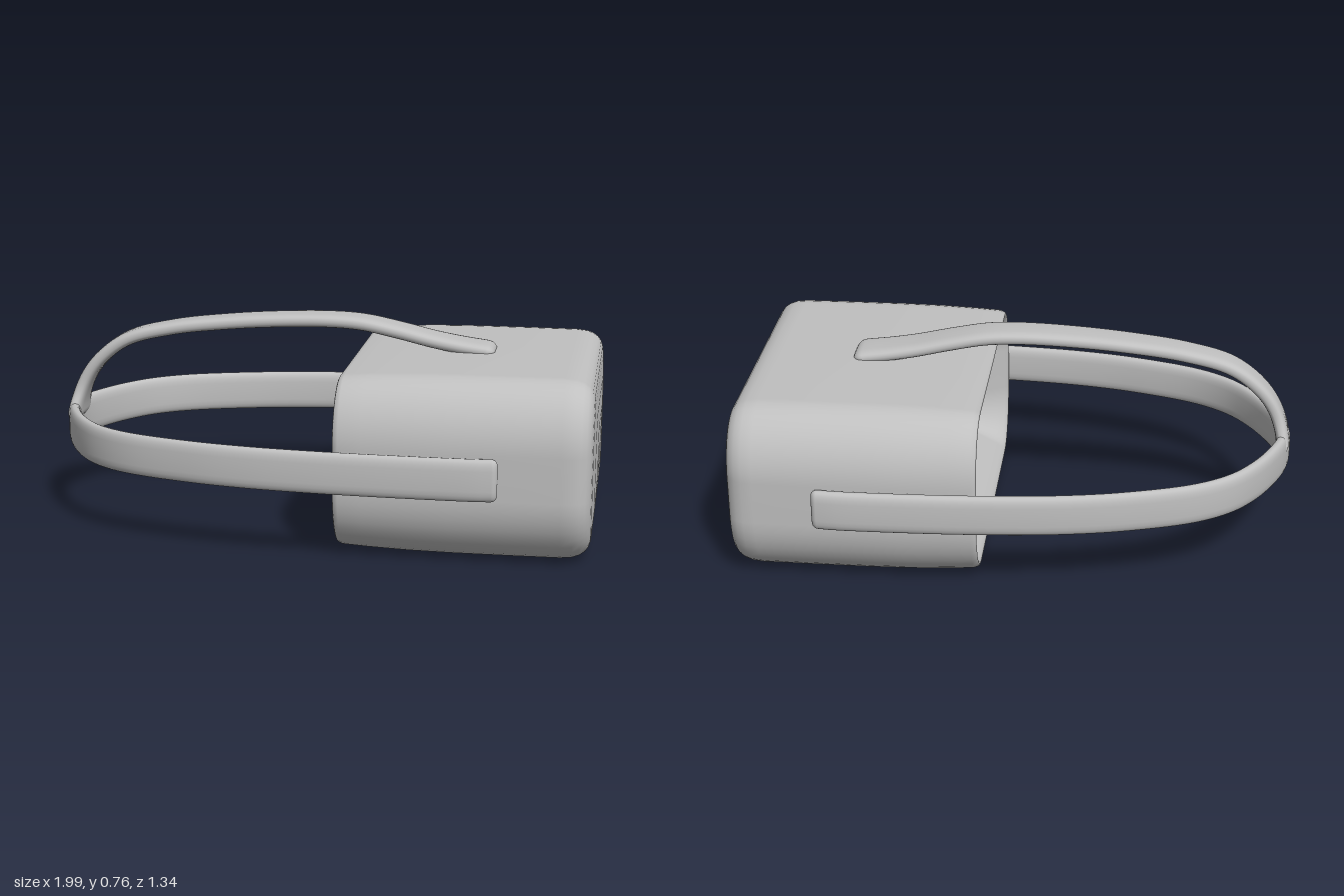
import * as THREE from 'three';

const V = (x, y, z) => new THREE.Vector3(x, y, z);

// Skin a list of equal-length closed rings of points.
function loft(rings) {
  const n = rings[0].length, index = [];
  for (let i = 0; i < rings.length - 1; i++) {
    for (let j = 0; j < n; j++) {
      const a = i * n + j, b = i * n + (j + 1) % n;
      index.push(a, b, a + n, b, b + n, a + n);
    }
  }
  const g = new THREE.BufferGeometry().setFromPoints(rings.flat());
  g.setIndex(index);
  g.computeVertexNormals();
  return g;
}

// Rounded-rectangle section across x, with elliptical corners.
function bodyRing(x, inset, scale = 1) {
  const ry = Math.max(0.24 - inset, 0.05), rz = Math.max(0.19 - inset, 0.05);
  const cy = 0.318 - inset - ry, cz = 0.622 - inset - rz;
  const ring = [];
  for (let q = 0; q < 4; q++) {
    const sy = q === 0 || q === 3 ? 1 : -1, sz = q < 2 ? 1 : -1;
    for (let k = 0; k <= 10; k++) {
      const a = (q + k / 10) * Math.PI / 2;
      ring.push(V(x, 0.322 + scale * (sy * cy + ry * Math.cos(a)),
        scale * (sz * cz + rz * Math.sin(a))));
    }
  }
  return ring;
}

// Sweep a padded band along a planar path; axis is the band's width direction.
function strap(points, axis, halfThick, halfWidth, round, steps) {
  const curve = new THREE.CatmullRomCurve3(points, false, 'centripetal');
  const length = curve.getLength(), us = [];
  const capSteps = 7, cap = round / length;
  for (let i = 0; i < capSteps; i++) us.push(cap * (1 - Math.cos(i / capSteps * Math.PI / 2)));
  for (let i = 0; i <= steps; i++) us.push(cap + (1 - 2 * cap) * i / steps);
  for (let i = capSteps - 1; i >= 0; i--) us.push(1 - us[i]);
  const power = (v, p) => Math.sign(v) * Math.abs(v) ** p;
  return loft(us.map(u => {
    const p = curve.getPointAt(u), t = curve.getTangentAt(u);
    const across = axis.clone().cross(t).normalize();
    const d = Math.max(0, 1 - Math.min(u, 1 - u) / cap);
    const s = Math.sqrt(Math.max(0, 1 - d * d));
    const w = (halfWidth(u) - round * (1 - s)) * (s < 0.01 ? 0.01 : 1);
    const h = halfThick * Math.max(s, 0.01);
    const ring = [];
    for (let j = 0; j < 24; j++) {
      const a = j / 24 * Math.PI * 2;
      ring.push(p.clone().addScaledVector(across, h * power(Math.cos(a), 0.8))
        .addScaledVector(axis, w * power(Math.sin(a), 0.55)));
    }
    return ring;
  }));
}

export function createModel() {
  const model = new THREE.Group();
  model.name = 'headset';
  const grey = new THREE.MeshStandardMaterial({ color: 0xc0c0c0 });
  grey.name = 'plain grey';
  const add = (name, geometry) => {
    const mesh = new THREE.Mesh(geometry, grey);
    mesh.name = name;
    model.add(mesh);
    return mesh;
  };

  // Visor shell: cavity floor, cavity wall, rim, outside, domed front.
  const profile = [
    [0.28, 0.14, 0.001], [0.28, 0.14, 0.6], [0.28, 0.14, 0.97], [0.28, 0.14],
    [0.27, 0.125], [0.25, 0.115], [0.14, 0.06], [0.115, 0.045], [0.104, 0.036],
    [0.1, 0.028], [0.104, 0.02], [0.12, 0.013], [0.2, 0.008], [0.35, 0.002],
    [0.5, 0], [0.7, 0], [0.88, 0.001], [0.92, 0.005], [0.945, 0.014],
    [0.963, 0.027], [0.975, 0.043], [0.982, 0.065], [0.985, 0.09],
    [0.99, 0.09, 0.75], [0.993, 0.09, 0.4], [0.994, 0.09, 0.001],
  ];
  add('visorShell', loft(profile.map(p => bodyRing(...p))));

  // Pair of domed lenses inside the cavity
  for (const side of [-1, 1]) {
    const lens = add(side > 0 ? 'frontLens' : 'backLens', new THREE.SphereGeometry(1, 40, 28));
    lens.scale.set(0.1, 0.175, 0.17);
    lens.position.set(0.28, 0.322, side * 0.26);
  }

  // Band running from one side of the visor round to the other
  const half = [
    [0.67, 0.638], [0.6, 0.645], [0.45, 0.646], [0.2, 0.64], [0, 0.628],
    [-0.2, 0.606], [-0.4, 0.566], [-0.65, 0.482], [-0.78, 0.395],
    [-0.865, 0.29], [-0.925, 0.18], [-0.963, 0.08],
  ];
  const path = [
    ...half.map(([x, z]) => V(x, 0.323, z)), V(-0.976, 0.323, 0),
    ...half.slice().reverse().map(([x, z]) => V(x, 0.323, -z)),
  ];
  add('sideStrap', strap(path, V(0, 1, 0), 0.023, () => 0.074, 0.022, 110));

  // Band over the head, flared where it joins the side band
  const over = [
    [-0.972, 0.33], [-0.962, 0.4], [-0.93, 0.485], [-0.875, 0.56], [-0.77, 0.638],
    [-0.6, 0.685], [-0.4, 0.712], [-0.2, 0.728], [0, 0.734], [0.12, 0.727],
    [0.25, 0.702], [0.38, 0.672], [0.48, 0.654], [0.56, 0.643], [0.607, 0.636],
  ];
  const width = u => 0.059 + 0.024 * u ** 1.5 + 0.055 * Math.exp(-((u / 0.045) ** 2));
  add('topStrap', strap(over.map(([x, y]) => V(x, y, 0)), V(0, 0, 1), 0.025, width, 0.035, 80));

  return model;
}
